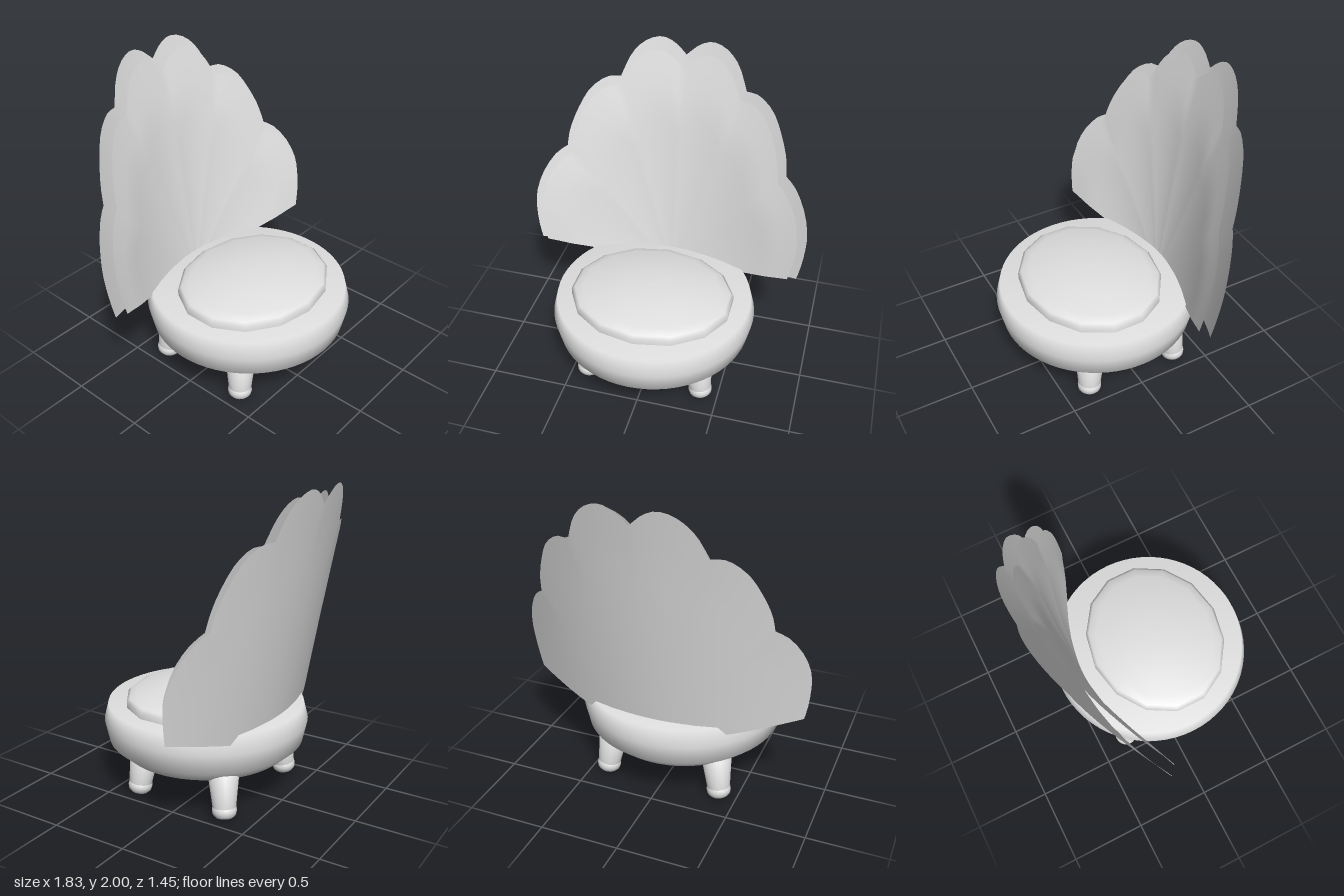
import * as THREE from 'three';

const grey = new THREE.MeshStandardMaterial({ color: 0xe0e0e0 });
grey.name = 'light grey';
const greySheet = grey.clone();
greySheet.side = THREE.DoubleSide;

const V = (pts) => pts.map(([x, y]) => new THREE.Vector2(x, y));

function lathe(name, profile, sides) {
  const mesh = new THREE.Mesh(new THREE.LatheGeometry(V(profile), sides), grey);
  mesh.name = name;
  return mesh;
}

// Curved, leaning sheet fanned out from a hidden root to a scalloped edge
function shellSheet(name, lobes, offset, flare) {
  const half = [];
  lobes.forEach((lobe, i) => {
    const pts = new THREE.SplineCurve(V(lobe)).getPoints(12);
    half.push(...(i ? pts.slice(1) : pts));
  });
  const edge = [...half.slice(1).reverse().map((p) => new THREE.Vector2(-p.x, p.y)), ...half];
  const rings = [0, 0.15, 0.3, 0.45, 0.6, 0.72, 0.8, 0.87, 0.94, 1];
  const rootY = 0.4;
  const pos = [], index = [];
  for (const t of rings) {
    const k = THREE.MathUtils.smoothstep(t, 0.78, 1.1);
    for (const p of edge) {
      const x = p.x * t, y = rootY + (p.y - rootY) * t;
      pos.push(x, y, -0.47 - 0.183 * (y - 0.58) + 0.335 * x * x + offset(t) - flare * k);
    }
  }
  const n = edge.length;
  for (let j = 0; j < rings.length - 1; j++) {
    for (let i = 0; i < n - 1; i++) {
      const a = j * n + i, b = a + 1, c = a + n, d = c + 1;
      if (j) index.push(a, b, c);
      index.push(b, d, c);
    }
  }
  const geo = new THREE.BufferGeometry();
  geo.setAttribute('position', new THREE.Float32BufferAttribute(pos, 3));
  geo.setIndex(index);
  geo.computeVertexNormals();
  const mesh = new THREE.Mesh(geo, greySheet);
  mesh.name = name;
  return mesh;
}

// Tapered leg with a rounded foot, splayed along the line from foot to top
function leg(name, top, bottom) {
  const group = new THREE.Group();
  group.name = name;
  group.add(
    lathe('legPost', [[0.072, 0.06], [0.097, 0.285], [0, 0.285]], 20),
    lathe('foot', [[0, 0], [0.055, 0.004], [0.072, 0.022], [0.077, 0.045], [0.074, 0.068], [0.06, 0.085], [0, 0.09]], 20),
  );
  const dir = top.clone().sub(bottom).normalize();
  group.quaternion.setFromUnitVectors(new THREE.Vector3(0, 1, 0), dir);
  group.position.copy(bottom);
  return group;
}

export function createModel() {
  const model = new THREE.Group();
  model.name = 'shellChair';

  // Round seat base
  const seat = lathe('seatBase', [[0, 0.26], [0.54, 0.26], [0.63, 0.34], [0.658, 0.47], [0.63, 0.58], [0, 0.58]], 64);
  seat.position.z = 0.07;
  model.add(seat);

  // Oval cushion with fourteen sides
  const cushion = lathe('seatCushion', [[1, 0.57], [1, 0.62], [0.96, 0.636], [0.85, 0.656], [0.5, 0.689], [0.22, 0.7], [0, 0.702]], 14);
  cushion.scale.set(0.528, 1, 0.45);
  cushion.position.z = 0.118;
  model.add(cushion);

  // Scalloped backrest: a large rear sheet and a smaller front one
  model.add(shellSheet('backrestShell', [
    [[0, 1.9], [0.08, 1.97], [0.17, 2.0], [0.27, 1.965], [0.35, 1.88], [0.41, 1.74]],
    [[0.41, 1.74], [0.5, 1.735], [0.6, 1.66], [0.67, 1.53], [0.715, 1.4], [0.73, 1.29]],
    [[0.73, 1.29], [0.8, 1.24], [0.87, 1.13], [0.91, 1.0], [0.915, 0.88], [0.9, 0.74], [0.88, 0.645]],
  ], () => 0.003, 0.008));
  model.add(shellSheet('backrestPad', [
    [[0, 1.85], [0.08, 1.92], [0.165, 1.95], [0.255, 1.92], [0.33, 1.84], [0.39, 1.71]],
    [[0.39, 1.71], [0.48, 1.705], [0.57, 1.63], [0.635, 1.5], [0.67, 1.38], [0.685, 1.27]],
    [[0.685, 1.27], [0.76, 1.21], [0.825, 1.1], [0.855, 0.97], [0.86, 0.88], [0.845, 0.76], [0.825, 0.665]],
  ], (t) => 0.04 + 0.055 * Math.min(1, t * 1.3), 0.025));

  // Four splayed legs
  for (const [side, s] of [['left', 1], ['right', -1]]) {
    model.add(leg(side + 'FrontLeg', new THREE.Vector3(0.355 * s, 0.285, 0.31), new THREE.Vector3(0.39 * s, 0.008, 0.335)));
    model.add(leg(side + 'RearLeg', new THREE.Vector3(0.355 * s, 0.285, -0.28), new THREE.Vector3(0.39 * s, 0.008, -0.31)));
  }
  return model;
}
